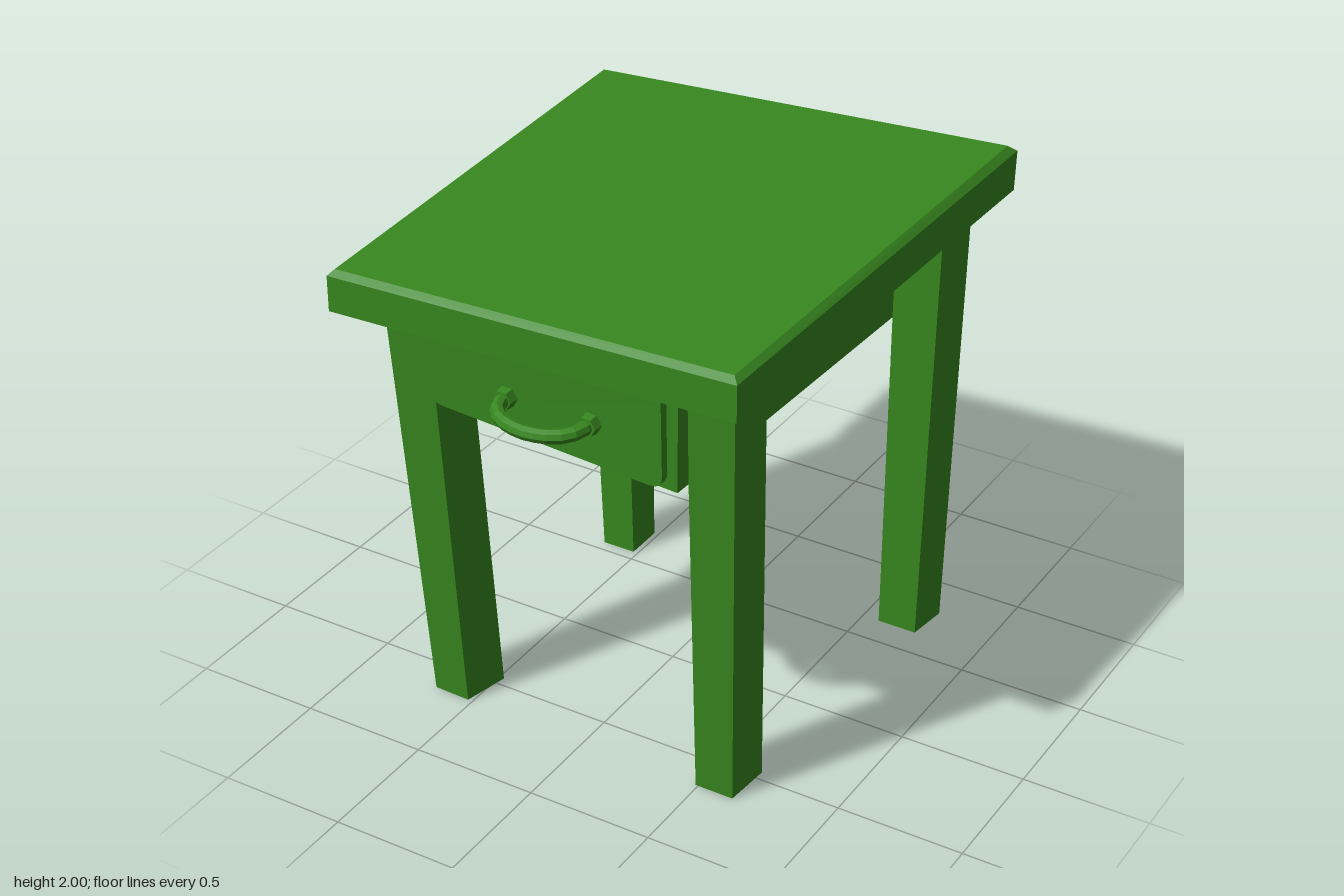
import * as THREE from 'three';

const material = new THREE.MeshStandardMaterial({ color: 0x37871f, flatShading: true });

// Bilinear blend of four corners ordered: front -x, front +x, back +x, back -x.
function blend(quad, u, v) {
  const p = (i) => new THREE.Vector3(...quad[i]);
  return p(3).lerp(p(2), u).lerp(p(0).lerp(p(1), u), v);
}

// Bends a unit-cube-sized geometry into the skewed block between two quads.
function warp(geometry, bottom, top) {
  const g = geometry.index ? geometry.toNonIndexed() : geometry;
  const pos = g.attributes.position;
  for (let i = 0; i < pos.count; i++) {
    const u = pos.getX(i) + 0.5, t = pos.getY(i) + 0.5, v = pos.getZ(i) + 0.5;
    const p = blend(bottom, u, v).lerp(blend(top, u, v), t);
    pos.setXYZ(i, p.x, p.y, p.z);
  }
  g.computeVertexNormals();
  return g;
}

function part(group, name, geometry) {
  const mesh = new THREE.Mesh(geometry, material);
  mesh.name = name;
  group.add(mesh);
  return mesh;
}

const block = (bottom, top) => warp(new THREE.BoxGeometry(1, 1, 1), bottom, top);

// Height of the sloping underside of the tabletop
const underside = (x, z) => 1.70 + 0.032 * (x + 0.87) + 0.0355 * (0.89 - z);

export function createModel() {
  const model = new THREE.Group();
  model.name = 'sideTable';

  // Tabletop: crooked slab with a bevelled upper edge
  const slabBottom = [[-0.87, 1.70, 0.89], [0.78, 1.75, 0.89], [0.87, 1.82, -0.99], [-0.87, 1.765, -0.91]];
  const slabEdge = [[-0.87, 1.84, 0.89], [0.78, 1.893, 0.89], [0.87, 1.975, -1.0], [-0.87, 1.918, -0.915]];
  const slabTop = [[-0.85, 1.862, 0.867], [0.757, 1.915, 0.867], [0.842, 2.0, -0.972], [-0.85, 1.942, -0.89]];
  part(model, 'tabletop', block(slabBottom, slabEdge));
  part(model, 'tabletopBevel', block(slabEdge, slabTop));

  // Legs: [x, z] corners of foot and top, each splayed a little differently
  const legs = {
    frontRightLeg: [
      [[-0.67, 0.64], [-0.52, 0.645], [-0.48, 0.46], [-0.655, 0.465]],
      [[-0.75, 0.735], [-0.56, 0.74], [-0.54, 0.54], [-0.755, 0.54]]],
    frontLeftLeg: [
      [[0.49, 0.65], [0.645, 0.65], [0.66, 0.46], [0.495, 0.46]],
      [[0.495, 0.735], [0.685, 0.735], [0.69, 0.53], [0.5, 0.53]]],
    backLeftLeg: [
      [[0.57, -0.63], [0.73, -0.63], [0.752, -0.80], [0.583, -0.80]],
      [[0.575, -0.63], [0.765, -0.63], [0.78, -0.83], [0.585, -0.83]]],
    backRightLeg: [
      [[-0.66, -0.55], [-0.52, -0.55], [-0.52, -0.714], [-0.66, -0.714]],
      [[-0.74, -0.55], [-0.56, -0.55], [-0.56, -0.75], [-0.74, -0.75]]],
  };
  for (const [name, [foot, top]] of Object.entries(legs)) {
    part(model, name, block(
      foot.map(([x, z]) => [x, 0, z]),
      top.map(([x, z]) => [x, underside(x, z) + 0.02, z])));
  }

  // Drawer case between the legs
  const caseTop = [[-0.575, 0.79], [0.497, 0.79], [0.6, -0.91], [-0.62, -0.91]];
  part(model, 'drawerCase', block(
    [[-0.555, 1.39, 0.775], [0.49, 1.33, 0.78], [0.587, 1.375, -0.89], [-0.60, 1.485, -0.89]],
    caseTop.map(([x, z]) => [x, underside(x, z) + 0.02, z])));

  // Drawer front: rounded panel, warped to the crooked opening
  const rx = 0.055, ry = 0.13, h = 0.5;
  const shape = new THREE.Shape();
  shape.moveTo(-h + rx, -h);
  shape.lineTo(h - rx, -h).quadraticCurveTo(h, -h, h, -h + ry);
  shape.lineTo(h, h - ry).quadraticCurveTo(h, h, h - rx, h);
  shape.lineTo(-h + rx, h).quadraticCurveTo(-h, h, -h, h - ry);
  shape.lineTo(-h, -h + ry).quadraticCurveTo(-h, -h, -h + rx, -h);
  const panel = new THREE.ExtrudeGeometry(shape, { depth: 1, bevelEnabled: false, curveSegments: 4 });
  panel.translate(0, 0, -0.5);
  part(model, 'drawerFront', warp(panel,
    [[-0.50, 1.405, 0.812], [0.45, 1.348, 0.815], [0.45, 1.348, 0.76], [-0.50, 1.405, 0.76]],
    [[-0.525, 1.70, 0.825], [0.45, 1.738, 0.825], [0.45, 1.738, 0.76], [-0.525, 1.70, 0.76]]));

  // Handle: bowed pull on two six-sided mounts
  const handle = new THREE.Group();
  handle.name = 'handle';
  model.add(handle);
  const path = new THREE.CatmullRomCurve3([
    [-0.17, 1.53, 0.82], [-0.165, 1.528, 0.89], [-0.115, 1.522, 0.945], [0, 1.518, 0.973],
    [0.115, 1.522, 0.945], [0.165, 1.528, 0.89], [0.17, 1.53, 0.82],
  ].map((p) => new THREE.Vector3(...p)));
  part(handle, 'handleGrip', new THREE.TubeGeometry(path, 12, 0.027, 8));
  for (const side of [-1, 1]) {
    const mount = part(handle, 'handleMount', new THREE.CylinderGeometry(0.037, 0.044, 0.05, 6));
    mount.rotation.set(Math.PI / 2, Math.PI / 6, 0);
    mount.position.set(side * 0.172, 1.53, 0.83);
  }
  return model;
}
